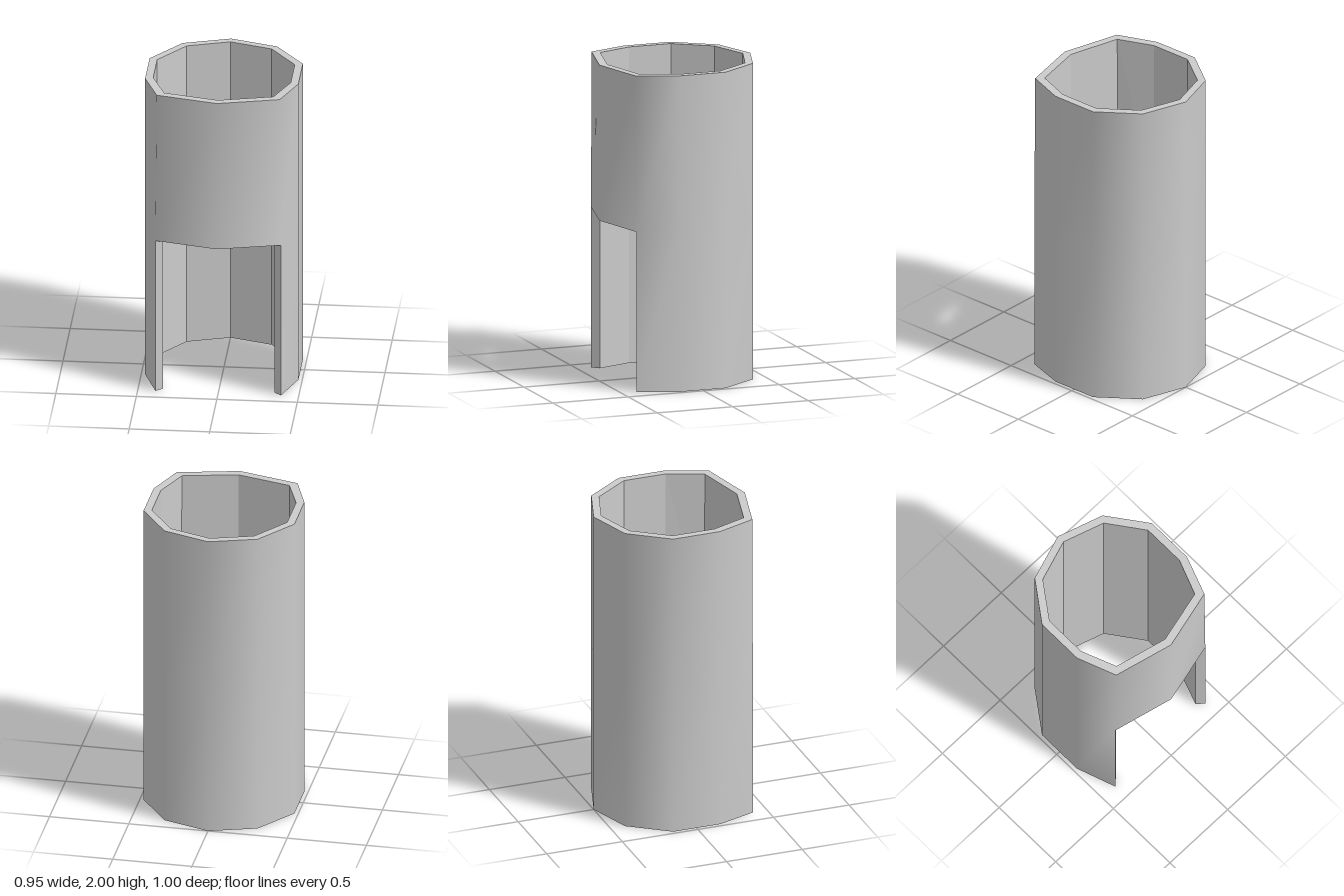
import * as THREE from 'three';

// Half cross-sections from front to back as [x, z]; mirrored into ten-sided rings
const outerHalf = [[0, 0.5], [0.39, 0.405], [0.476, 0.155], [0.476, -0.155], [0.294, -0.405], [0, -0.5]];
const innerHalf = [[0, 0.447], [0.345, 0.364], [0.427, 0.138], [0.427, -0.138], [0.264, -0.364], [0, -0.45]];
const N = 10;

function ring(half, y, frontX = 0) {
  const pts = half.map(([x, z], i) => new THREE.Vector3(i === 1 ? x - frontX : x, y, z));
  for (let i = 4; i > 0; i--) pts.push(pts[i].clone().setX(-pts[i].x));
  return pts;
}

const isOpening = (i) => i === 0 || i === N - 1;

function mesh(name, positions, index, flat) {
  let geo = new THREE.BufferGeometry().setFromPoints(positions);
  geo.setIndex(index);
  if (flat) geo = geo.toNonIndexed();
  geo.computeVertexNormals();
  const m = new THREE.Mesh(geo, new THREE.MeshStandardMaterial({ color: 0xcccccc, flatShading: flat }));
  m.name = name;
  return m;
}

// Wall through three rings (bottom, sill of the cut, top), open at the lower front
function wall(name, rings, inward) {
  const index = [];
  for (let level = 0; level < 2; level++) {
    for (let i = 0; i < N; i++) {
      if (level === 0 && isOpening(i)) continue;
      const a = level * N + i, b = level * N + (i + 1) % N, c = b + N, d = a + N;
      index.push(...(inward ? [a, c, b, a, d, c] : [a, b, c, a, c, d]));
    }
  }
  return mesh(name, rings.flat(), index, inward);
}

// Flat-shaded quads from lists of four corners
function quads(name, list) {
  const index = list.flatMap((_, i) => [0, 1, 2, 0, 2, 3].map((k) => i * 4 + k));
  return mesh(name, list.flat(), index, true);
}

export function createModel() {
  const group = new THREE.Group();
  group.name = 'notchedTube';
  const out = [ring(outerHalf, 0), ring(outerHalf, 1.015), ring(outerHalf, 2, 0.008)];
  const inn = [ring(innerHalf, 0), ring(innerHalf, 1.004), ring(innerHalf, 2, 0.006)];

  group.add(wall('outerWall', out, false), wall('innerWall', inn, true));

  // Rims at the top, at the bottom and under the cut
  const top = [], bottom = [], lintel = [];
  for (let i = 0; i < N; i++) {
    const j = (i + 1) % N;
    top.push([out[2][i], out[2][j], inn[2][j], inn[2][i]]);
    const level = isOpening(i) ? 1 : 0;
    (level ? lintel : bottom).push([out[level][j], out[level][i], inn[level][i], inn[level][j]]);
  }
  group.add(quads('topRim', top), quads('bottomRim', bottom), quads('openingLintel', lintel));

  // Upright cut edges beside the opening
  group.add(quads('openingJambs', [
    [inn[0][1], out[0][1], out[1][1], inn[1][1]],
    [out[0][9], inn[0][9], inn[1][9], out[1][9]],
  ]));
  return group;
}
